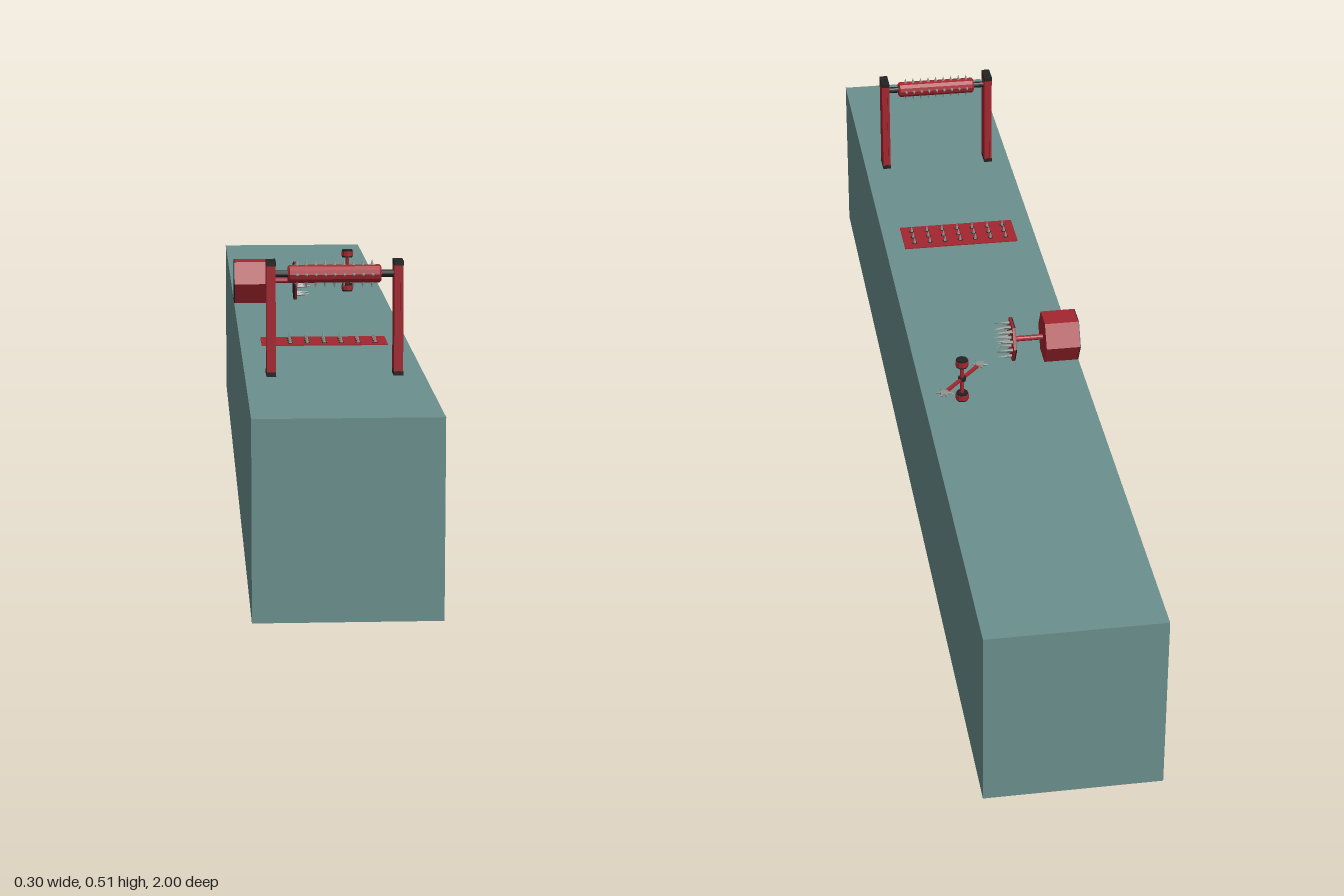
import * as THREE from 'three';

const mat = (color) => new THREE.MeshStandardMaterial({ color, flatShading: true });
const TEAL = mat(0x6b908d), RED = mat(0xa3262f), BLACK = mat(0x222222), STEEL = mat(0x8d9490);
const GROUND = 0.32;

function add(parent, name, geometry, material, x = 0, y = 0, z = 0) {
  const mesh = new THREE.Mesh(geometry, material);
  mesh.name = name;
  mesh.position.set(x, y, z);
  parent.add(mesh);
  return mesh;
}

function group(parent, name, x, y, z) {
  const g = new THREE.Group();
  g.name = name;
  g.position.set(x, y, z);
  parent.add(g);
  return g;
}

// Cylinder lying along x, with a corner pointing to z
const rod = (r, length, sides) =>
  new THREE.CylinderGeometry(r, r, length, sides).rotateZ(Math.PI / 2);

// Cone standing on its base at the origin
const spike = (r, h) => new THREE.ConeGeometry(r, h, 6).translate(0, h / 2, 0);

// Two posts holding a spiked roller
function buildGate(model) {
  const gate = group(model, 'rollerGate', 0, GROUND, 0.625);
  const w = 0.0075, d = 0.02, n = 0.003;
  // Post section with a shallow groove on its front and back
  const section = new THREE.Shape([
    [-w, -d], [-n, -d], [-n, -d + n], [n, -d + n], [n, -d], [w, -d],
    [w, d], [n, d], [n, d - n], [-n, d - n], [-n, d], [-w, d],
  ].map(([x, y]) => new THREE.Vector2(x, y)));
  const post = new THREE.ExtrudeGeometry(section, { depth: 0.184, bevelEnabled: false })
    .rotateX(-Math.PI / 2);
  for (const side of [-1, 1]) {
    const x = side * 0.105;
    add(gate, 'post', post, RED, x, 0.003, 0);
    add(gate, 'postFoot', new THREE.BoxGeometry(0.016, 0.007, 0.041), BLACK, x, 0.0035, 0);
    add(gate, 'postCap', new THREE.BoxGeometry(0.016, 0.007, 0.041), BLACK, x, 0.187, 0);
  }
  const roller = group(gate, 'spikedRoller', 0, 0.168, 0);
  add(roller, 'axle', rod(0.006, 0.2, 12), BLACK);
  const profile = [[0, -0.077], [0.012, -0.077], [0.015, -0.074], [0.015, 0.074], [0.012, 0.077], [0, 0.077]]
    .map(([r, y]) => new THREE.Vector2(r, y));
  add(roller, 'drum', new THREE.LatheGeometry(profile, 12).rotateZ(Math.PI / 2), RED);
  const tooth = spike(0.0035, 0.011).translate(0, 0.013, 0);
  for (let i = 0; i < 9; i++) {
    for (let k = 0; k < 4; k++) {
      const t = add(roller, 'rollerSpike', tooth, STEEL, (i - 4) * 0.0155, 0, 0);
      t.rotation.x = k * Math.PI / 2;
    }
  }
}

// Flat floor plate with a grid of spikes
function buildFloorTrap(model) {
  const trap = group(model, 'floorTrap', 0, GROUND, 0.302);
  add(trap, 'floorPlate', new THREE.BoxGeometry(0.222, 0.002, 0.085), RED, 0, 0.001, 0);
  const socket = new THREE.CylinderGeometry(0.005, 0.005, 0.0006, 8);
  for (let i = -3; i <= 3; i++) {
    for (let j = -1; j <= 1; j++) {
      add(trap, 'socket', socket, BLACK, i * 0.03, 0.0021, j * 0.023);
      add(trap, 'floorSpike', spike(0.0035, 0.014), STEEL, i * 0.03, 0.001, j * 0.023);
    }
  }
}

// Hexagonal housing driving a spiked plate sideways
function buildPusher(model) {
  const pusher = group(model, 'spikedPusher', 0, 0.36, -0.174);
  add(pusher, 'housing', rod(0.046, 0.061, 6), RED, -0.1165);
  add(pusher, 'housingBack', rod(0.0455, 0.002, 6), BLACK, -0.1475);
  add(pusher, 'pushRod', rod(0.005, 0.06, 12), RED, -0.058);
  add(pusher, 'pushPlate', rod(0.04, 0.004, 6), RED, -0.029);
  add(pusher, 'plateBack', rod(0.0395, 0.002, 6), BLACK, -0.032);
  const prong = spike(0.0035, 0.027).rotateZ(-Math.PI / 2);
  [3, 4, 4, 3].forEach((count, row) => {
    for (let i = 0; i < count; i++) {
      add(pusher, 'pushSpike', prong, STEEL, -0.027, (row - 1.5) * 0.0168, (i - (count - 1) / 2) * 0.0165);
    }
  });
}

// Upright shaft spinning an arm with a spiked disc at either end
function buildSpinner(model) {
  const spinner = group(model, 'spinner', 0.08, GROUND, -0.3);
  add(spinner, 'shaft', new THREE.CylinderGeometry(0.0035, 0.0035, 0.08, 10), RED, 0, 0.041, 0);
  for (const y of [0.0075, 0.0755]) {
    add(spinner, 'knob', new THREE.CylinderGeometry(0.012, 0.012, 0.009, 10), RED, 0, y, 0);
    for (const s of [-1, 1]) {
      add(spinner, 'knobRim', new THREE.CylinderGeometry(0.0105, 0.0105, 0.003, 10), BLACK, 0, y + s * 0.006, 0);
    }
  }
  const arm = group(spinner, 'arm', 0, 0.043, 0);
  arm.rotation.y = 0.85;
  add(arm, 'hub', new THREE.CylinderGeometry(0.007, 0.007, 0.007, 10), BLACK);
  add(arm, 'bar', new THREE.BoxGeometry(0.114, 0.004, 0.006), RED);
  for (const s of [-1, 1]) {
    const disc = group(arm, 'bladeDisc', s * 0.057, 0, 0);
    add(disc, 'disc', new THREE.CylinderGeometry(0.008, 0.008, 0.005, 10), STEEL);
    for (let k = 0; k < 6; k++) {
      const blade = add(disc, 'blade', spike(0.003, 0.012).translate(0, 0.006, 0).rotateZ(-Math.PI / 2), STEEL);
      blade.rotation.y = k * Math.PI / 3;
    }
  }
}

export function createModel() {
  const model = new THREE.Group();
  model.name = 'trapCourse';
  add(model, 'track', new THREE.BoxGeometry(0.297, GROUND, 2), TEAL, 0, GROUND / 2, 0);
  buildGate(model);
  buildFloorTrap(model);
  buildPusher(model);
  buildSpinner(model);
  return model;
}
